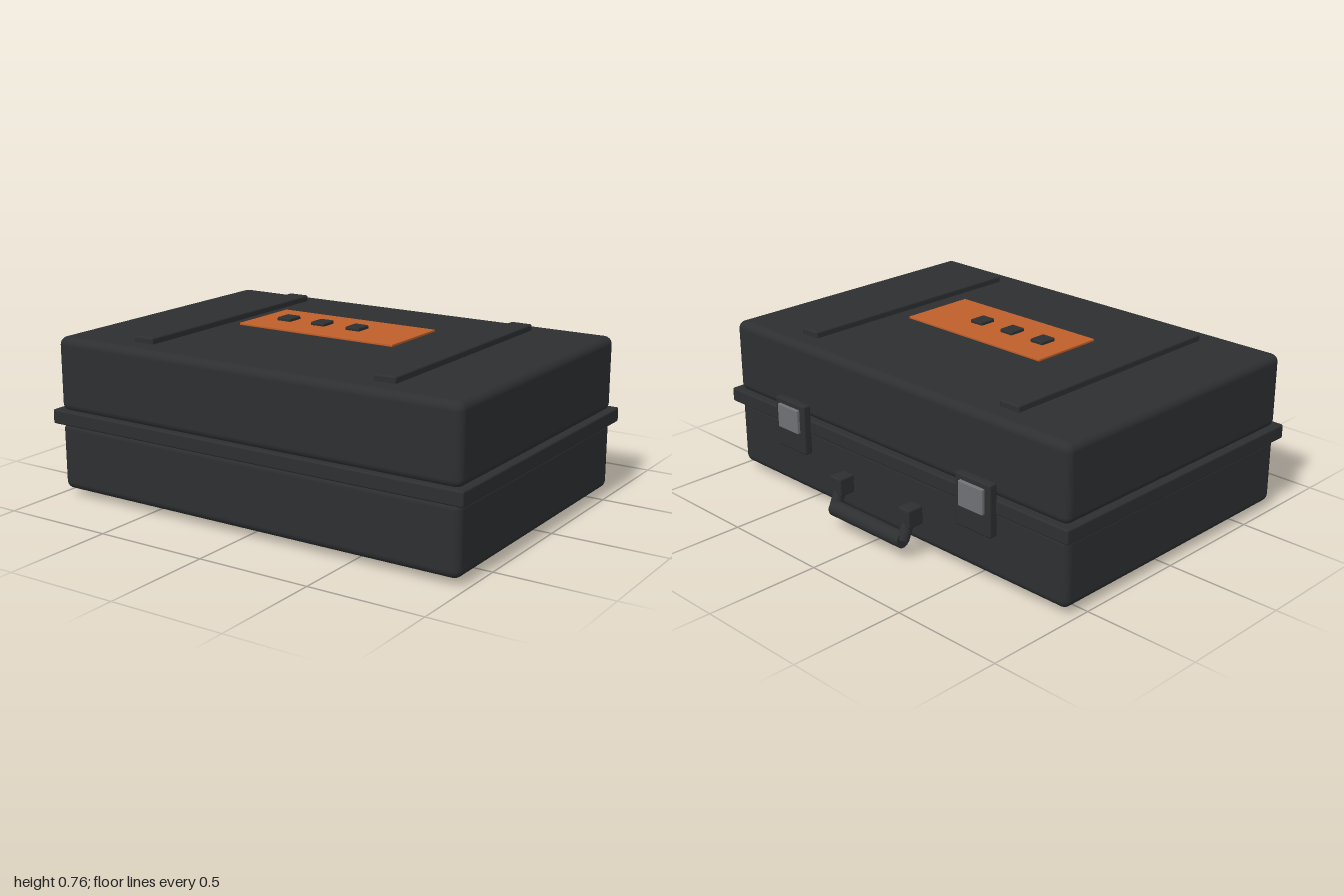
import * as THREE from 'three';
import { RoundedBoxGeometry } from 'three/addons/geometries/RoundedBoxGeometry.js';

const mat = (color) => new THREE.MeshStandardMaterial({ color });

export function createModel() {
  const model = new THREE.Group();
  model.name = 'carryCase';
  const dark = mat(0x2d2f31), orange = mat(0xc0602a), grey = mat(0x707275);

  const add = (name, geometry, material = dark) => {
    const mesh = new THREE.Mesh(geometry, material);
    mesh.name = name;
    model.add(mesh);
    return mesh;
  };
  // Rounded box given by its extents on each axis
  const box = (name, [x0, x1], [y0, y1], [z0, z1], radius, material) => {
    const mesh = add(name, new RoundedBoxGeometry(x1 - x0, y1 - y0, z1 - z0, 3, radius), material);
    mesh.position.set((x0 + x1) / 2, (y0 + y1) / 2, (z0 + z1) / 2);
    return mesh;
  };

  // Two shells and the rim between them
  box('lowerShell', [-0.975, 0.975], [0.028, 0.33], [-0.6, 0.722], 0.035);
  box('upperShell', [-0.975, 0.975], [0.375, 0.7], [-0.6, 0.722], 0.035);
  box('rim', [-1, 1], [0.321, 0.384], [-0.625, 0.743], 0.008);

  // Floating label plate with three buttons
  box('topPlate', [-0.383, 0.38], [0.732, 0.742], [-0.112, 0.228], 0.002, orange);
  for (const x of [-0.247, -0.073, 0.102])
    box('button', [x - 0.034, x + 0.034], [0.735, 0.756], [0.018, 0.098], 0.006);

  for (const s of [-1, 1]) {
    const span = (x, w) => [s * x - w / 2, s * x + w / 2];

    // Lid ribs
    box('lidRib', span(0.587, 0.1), [0.685, 0.727], [-0.5, 0.617], 0.008);

    // Feet
    for (const z of [0.552, -0.428])
      add('foot', new THREE.CylinderGeometry(0.058, 0.052, 0.034, 24)).position.set(s * 0.805, 0.017, z);

    // Latches on the back
    box('latch', span(0.548, 0.19), [0.232, 0.455], [-0.658, -0.62], 0.008);
    box('latchPlate', span(0.548, 0.13), [0.325, 0.432], [-0.672, -0.65], 0.004, grey);

    // Handle mounts and the short arms that hold the grip
    box('handleMount', span(0.208, 0.066), [0.145, 0.226], [-0.705, -0.628], 0.008);
    const arm = new THREE.LineCurve3(
      new THREE.Vector3(s * 0.208, 0.165, -0.677), new THREE.Vector3(s * 0.208, 0.09, -0.71));
    add('handleArm', new THREE.TubeGeometry(arm, 1, 0.026, 12));
  }

  // Handle grip
  const grip = add('handleGrip', new THREE.CylinderGeometry(0.034, 0.034, 0.42, 20));
  grip.rotation.z = Math.PI / 2;
  grip.position.set(0, 0.09, -0.71);

  return model;
}
